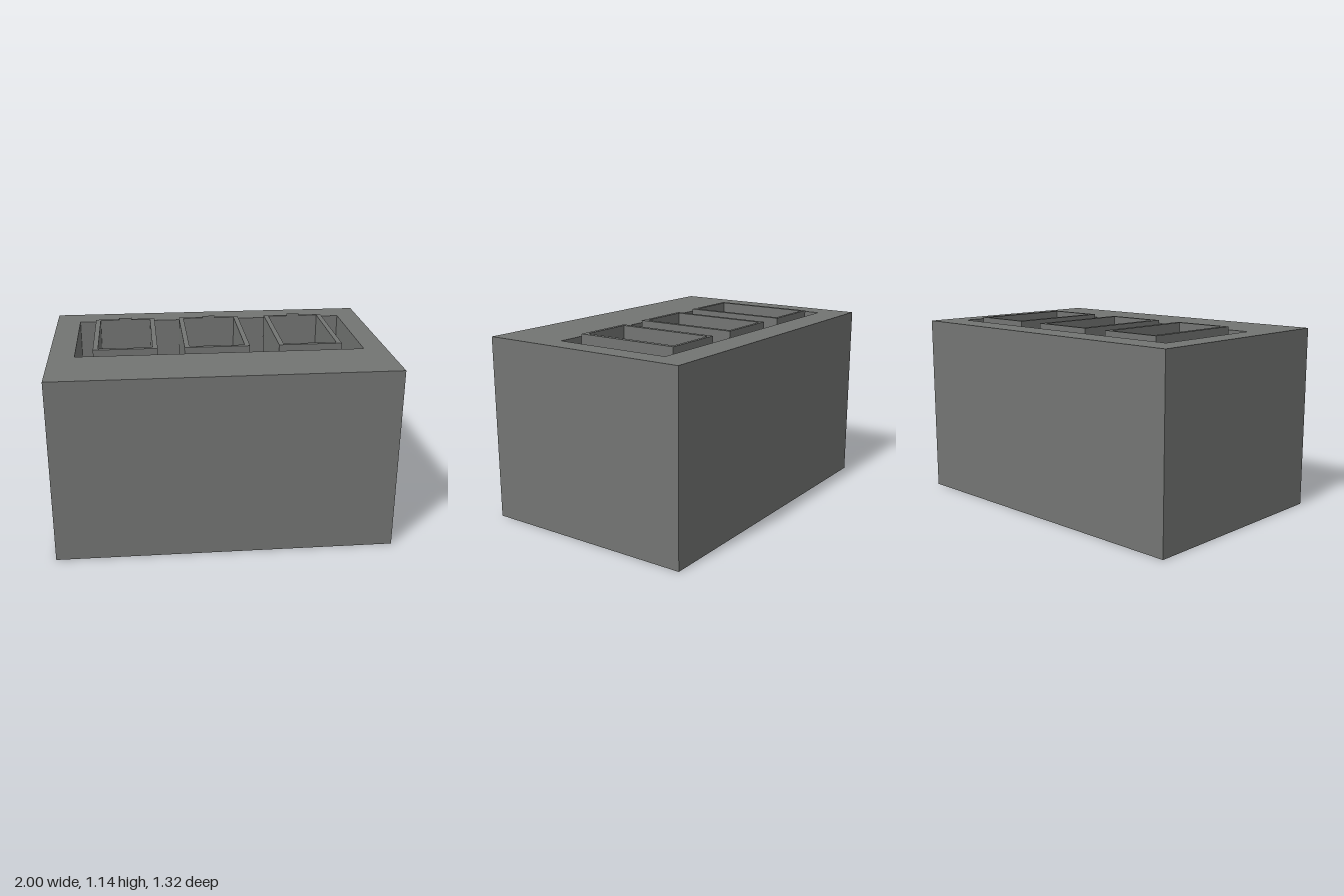
import * as THREE from 'three';

const grey = new THREE.MeshStandardMaterial({ color: 0x737573 });
grey.name = 'stone grey';

// Rectangular path in plan; z0 is the back edge, z1 the front edge
function rect(Type, [x0, x1, z0, z1]) {
  const path = new Type();
  path.moveTo(x0, -z1);
  path.lineTo(x1, -z1);
  path.lineTo(x1, -z0);
  path.lineTo(x0, -z0);
  path.closePath();
  return path;
}

// Upright slab between two heights, with an optional rectangular hole
function slab(name, outer, inner, y0, y1) {
  const shape = rect(THREE.Shape, outer);
  if (inner) shape.holes.push(rect(THREE.Path, inner));
  const geometry = new THREE.ExtrudeGeometry(shape, { depth: y1 - y0, bevelEnabled: false });
  geometry.rotateX(-Math.PI / 2).translate(0, y0, 0);
  const mesh = new THREE.Mesh(geometry, grey);
  mesh.name = name;
  return mesh;
}

export function createModel() {
  const model = new THREE.Group();
  model.name = 'blockWithBins';
  const floor = 0.3, top = 1.105, rim = 1.13;
  const block = [-1, 1, -0.66, 0.66];

  // Solid base and the walls around the recess
  model.add(slab('base', block, null, 0, floor));
  model.add(slab('blockWalls', block, [-0.85, 0.865, -0.48, 0.245], floor, top));

  // Three open bins standing in the recess
  for (const [x0, x1] of [[-0.745, -0.365], [-0.205, 0.185], [0.36, 0.74]]) {
    const bin = new THREE.Group();
    bin.name = 'bin';
    const inner = [x0 + 0.03, x1 - 0.03, -0.42, 0.18];
    bin.add(slab('binWalls', [x0, x1, -0.44, 0.205], inner, floor, rim));
    bin.add(slab('binFloor', inner, null, floor, floor + 0.03));

    // Thin tab on the back rim, showing from the front only
    const tab = new THREE.Mesh(new THREE.PlaneGeometry(0.08, 0.04), grey);
    tab.name = 'tab';
    tab.position.set((x0 + x1) / 2, 1.125, -0.415);
    bin.add(tab);
    model.add(bin);
  }
  return model;
}
